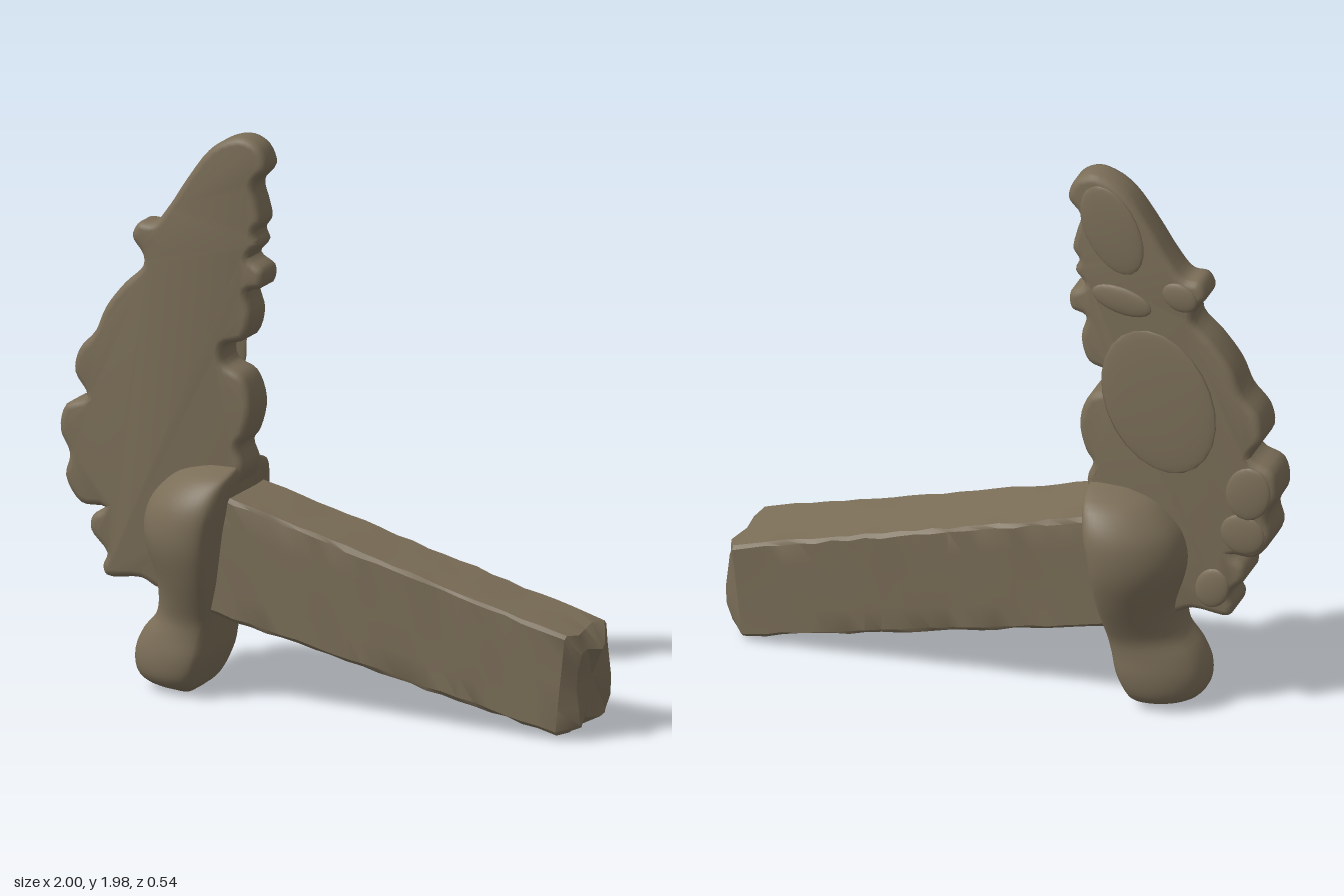
import * as THREE from 'three';
import { toCreasedNormals } from 'three/addons/utils/BufferGeometryUtils.js';

const stone = new THREE.MeshStandardMaterial({ color: 0x7b6e58 });
stone.name = 'weathered stone';

function part(name, geometry, crease) {
  const mesh = new THREE.Mesh(crease ? toCreasedNormals(geometry, crease) : geometry, stone);
  mesh.name = name;
  return mesh;
}

// Skins a row of closed rings and caps both ends
function loft(rings, startCap, endCap) {
  const n = rings[0].length;
  const points = rings.flat();
  const index = [];
  const first = points.push(startCap) - 1;
  const last = points.push(endCap) - 1;
  const end = (rings.length - 1) * n;
  for (let j = 0; j < n; j++) {
    const k = (j + 1) % n;
    for (let i = 0; i < rings.length - 1; i++) {
      const a = i * n + j, b = i * n + k;
      index.push(a, b, b + n, a, b + n, a + n);
    }
    index.push(first, k, j, last, end + j, end + k);
  }
  const geometry = new THREE.BufferGeometry().setFromPoints(points);
  geometry.setIndex(index);
  geometry.computeVertexNormals();
  return geometry;
}

// Back face of the wing leans forward towards the tip
const backZ = (y) => -0.07 + 0.05 * THREE.MathUtils.clamp((y - 0.85) / 1.1, 0, 1);

function buildWing() {
  const tipAndInnerEdge = [
    [-0.445, 1.92], [-0.38, 1.965], [-0.31, 1.98], [-0.25, 1.95], [-0.225, 1.88], [-0.27, 1.82],
    [-0.255, 1.75], [-0.245, 1.69], [-0.268, 1.65], [-0.255, 1.61], [-0.29, 1.56], [-0.238, 1.52],
    [-0.245, 1.46], [-0.295, 1.44], [-0.28, 1.36], [-0.31, 1.27], [-0.385, 1.24], [-0.385, 1.18],
    [-0.315, 1.14], [-0.28, 1.04], [-0.305, 0.93], [-0.33, 0.89], [-0.31, 0.82], [-0.35, 0.72],
  ];
  const lowerAndOuterEdge = [
    [-0.45, 0.42], [-0.62, 0.36], [-0.695, 0.39], [-0.825, 0.385], [-0.84, 0.42], [-0.825, 0.465],
    [-0.885, 0.54], [-0.88, 0.59], [-0.835, 0.625], [-0.92, 0.63], [-0.98, 0.72], [-0.965, 0.8],
    [-1.0, 0.88], [-0.98, 0.97], [-0.9, 1.01], [-0.945, 1.09], [-0.93, 1.17], [-0.87, 1.24],
    [-0.83, 1.33], [-0.76, 1.42], [-0.69, 1.49], [-0.69, 1.53], [-0.73, 1.59], [-0.705, 1.64],
    [-0.65, 1.645], [-0.59, 1.715], [-0.535, 1.8],
  ];
  const outline = [...tipAndInnerEdge, ...lowerAndOuterEdge].map(([x, y]) => new THREE.Vector3(x, y, 0));
  const curve = new THREE.CatmullRomCurve3(outline, true);
  const shape = new THREE.Shape(
    Array.from({ length: 204 }, (_, i) => curve.getPoint(i / 204)).map((p) => new THREE.Vector2(p.x, p.y))
  );
  const geometry = new THREE.ExtrudeGeometry(shape, {
    depth: 0.115, bevelThickness: 0.025, bevelSize: 0.025, bevelOffset: -0.025, bevelSegments: 3,
  });
  geometry.translate(0, 0, -0.045);
  const pos = geometry.attributes.position;
  for (let i = 0; i < pos.count; i++) {
    if (pos.getZ(i) < 0.01) pos.setZ(i, pos.getZ(i) + backZ(pos.getY(i)) + 0.07);
  }
  return part('wing', geometry, 0.7);
}

// Shallow domed feathers carved on the back: x, y, half width, half height, turn
function buildFeathers() {
  const group = new THREE.Group();
  group.name = 'backFeathers';
  const lobes = [
    [-0.39, 1.79, 0.1, 0.17, -0.45], [-0.64, 1.58, 0.065, 0.05, 0.4], [-0.43, 1.53, 0.11, 0.05, 0.2],
    [-0.57, 1.17, 0.2, 0.27, -0.35], [-0.9, 0.88, 0.08, 0.1, 0.2], [-0.88, 0.72, 0.08, 0.075, 0],
    [-0.77, 0.49, 0.06, 0.075, 0.3],
  ];
  for (const [x, y, w, h, turn] of lobes) {
    const lobe = part('backFeather', new THREE.SphereGeometry(1, 24, 12));
    lobe.scale.set(w, h, 0.014);
    lobe.position.set(x, y, backZ(y));
    lobe.rotation.set(Math.atan(0.045), 0, turn);
    group.add(lobe);
  }
  return group;
}

// Grip housing: horizontal sections given as y, rear x, front x, half depth
function buildGrip() {
  const sections = [
    [0.005, -0.6, -0.52, 0.07], [0.03, -0.69, -0.49, 0.13], [0.07, -0.73, -0.465, 0.16],
    [0.14, -0.735, -0.435, 0.17], [0.21, -0.705, -0.42, 0.165], [0.27, -0.655, -0.408, 0.168],
    [0.34, -0.64, -0.395, 0.195], [0.42, -0.645, -0.382, 0.228], [0.52, -0.675, -0.37, 0.26],
    [0.6, -0.685, -0.36, 0.27], [0.68, -0.665, -0.345, 0.264], [0.74, -0.62, -0.335, 0.238],
    [0.79, -0.56, -0.325, 0.19], [0.82, -0.48, -0.325, 0.11],
  ];
  const span = new THREE.CatmullRomCurve3(sections.map(([y, a, b]) => new THREE.Vector3(a, y, b)), false, 'catmullrom');
  const depth = new THREE.CatmullRomCurve3(sections.map((s) => new THREE.Vector3(s[3], 0, 0)), false, 'catmullrom');
  const half = [[0, 0], [0.02, 0.3], [0.1, 0.56], [0.3, 0.82], [0.55, 0.97], [0.78, 1], [0.92, 0.94], [0.985, 0.7], [1, 0.3], [1, 0]];
  const mirrored = half.slice(1, -1).reverse().map(([u, w]) => [u, -w]);
  const ringCurve = new THREE.CatmullRomCurve3([...half, ...mirrored].map(([u, w]) => new THREE.Vector3(u, 0, w)), true);
  const rings = [];
  for (let i = 0; i <= 39; i++) {
    const s = span.getPoint(i / 39);
    const d = depth.getPoint(i / 39).x;
    rings.push(Array.from({ length: 48 }, (_, j) => {
      const p = ringCurve.getPoint(j / 48);
      return new THREE.Vector3(s.x + (s.z - s.x) * p.x, s.y, d * p.z);
    }));
  }
  return part('grip', loft(rings, new THREE.Vector3(-0.57, 0.003, 0), new THREE.Vector3(-0.4, 0.828, 0)), 0.9);
}

// Thick broken shaft, worn along its edges and chipped at the end
function buildShaft() {
  let seed = 7;
  const wear = () => {
    seed = (seed * 16807) % 2147483647;
    return seed / 2147483647 - 0.5;
  };
  // Cross-section in z and y, each from -1 to 1
  const side = [-0.93, -0.5, 0, 0.5, 0.93];
  const section = [
    ...side.map((s) => [s, 1]), ...side.map((s) => [1, -s]),
    ...side.map((s) => [-s, -1]), ...side.map((s) => [-1, s]),
  ];
  const ring = (x, scale, chip) => section.map(([w, v]) => {
    const px = x + chip(w, v);
    const top = 0.628 - 0.277 * px, bottom = 0.219 - 0.222 * px;
    const edge = Math.abs(w) > 0.9 && Math.abs(v) > 0.9 ? 0.008 : 0.003;
    return new THREE.Vector3(
      px,
      (top + bottom) / 2 + (v * scale * (top - bottom)) / 2 + wear() * edge,
      -0.005 + w * scale * 0.15 + wear() * edge
    );
  });
  const rings = [];
  for (let i = 0; i <= 22; i++) rings.push(ring(-0.5 + i * 0.06, 1, () => 0));
  rings.push(ring(0.915, 0.995, (w, v) => 0.018 * v + 0.012 * Math.sin(w * 4)));
  rings.push(ring(0.965, 0.74, (w, v) => 0.016 * v + 0.018 * Math.sin(w * 4 + v * 2)));
  return part('shaft', loft(rings, new THREE.Vector3(-0.5, 0.55, 0), new THREE.Vector3(0.945, 0.2, -0.03)), 0.5);
}

export function createModel() {
  const model = new THREE.Group();
  model.name = 'wingedRelic';
  model.add(buildWing(), buildFeathers(), buildGrip(), buildShaft());
  return model;
}
